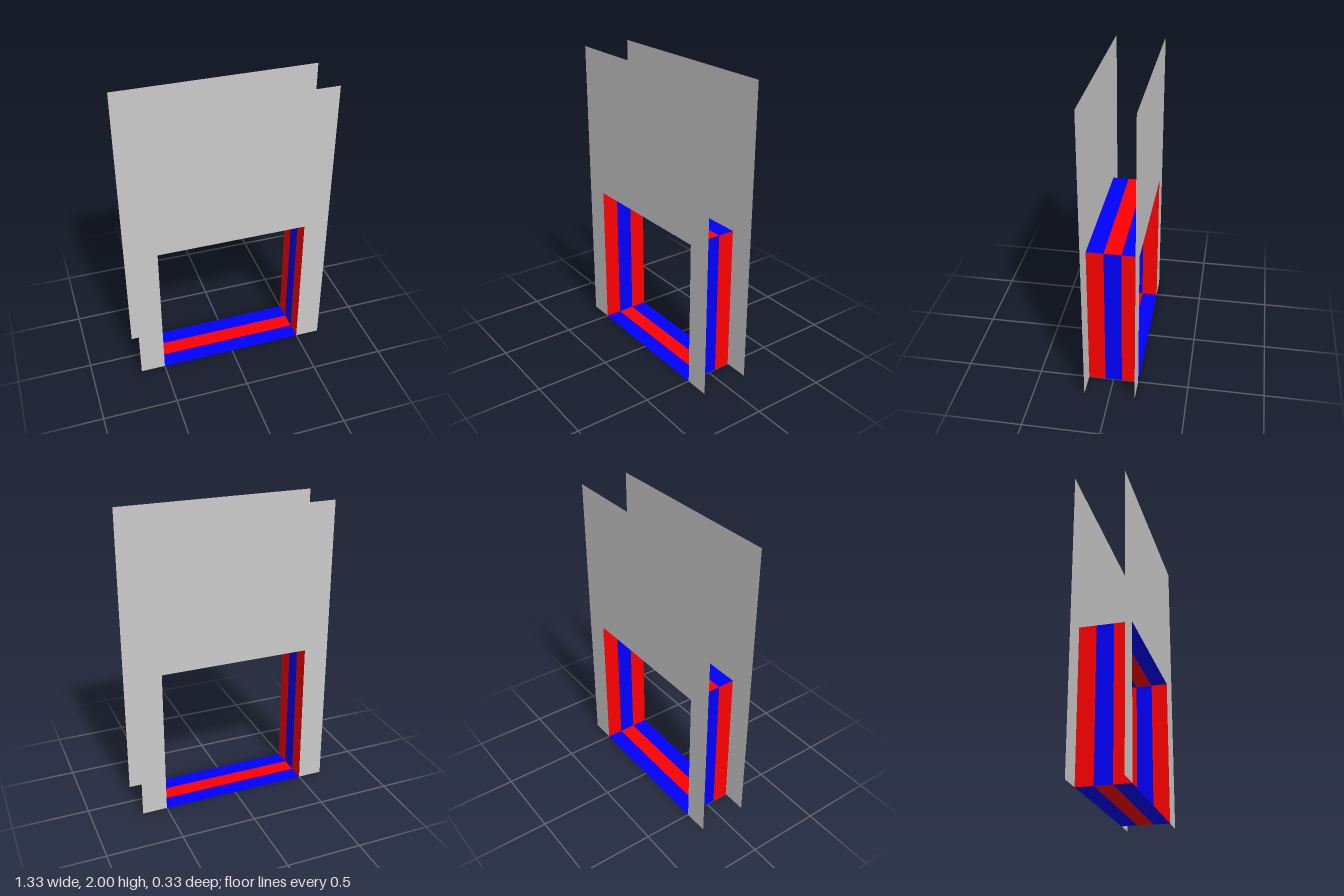
import * as THREE from 'three';

const HALF_W = 2 / 3, HEIGHT = 2;     // panels
const OPEN_HALF = 0.5, OPEN_H = 1;    // doorway
const DEPTH = 1 / 3, STRIP = DEPTH / 3;

const material = (color) => new THREE.MeshStandardMaterial({ color, side: THREE.DoubleSide });

export function createModel() {
  const model = new THREE.Group();
  const grey = material(0xcccccc), red = material(0xff0000), blue = material(0x0000ff);

  // Thin upright panel with a doorway cut from its lower edge
  const outline = new THREE.Shape([
    [-HALF_W, 0], [-OPEN_HALF, 0], [-OPEN_HALF, OPEN_H], [OPEN_HALF, OPEN_H],
    [OPEN_HALF, 0], [HALF_W, 0], [HALF_W, HEIGHT], [-HALF_W, HEIGHT],
  ].map(([x, y]) => new THREE.Vector2(x, y)));
  const panelGeometry = new THREE.ShapeGeometry(outline);
  for (const [name, side] of [['frontPanel', 1], ['backPanel', -1]]) {
    const panel = new THREE.Mesh(panelGeometry, grey);
    panel.name = name;
    panel.position.z = side * DEPTH / 2;
    if (side < 0) panel.rotation.y = Math.PI;
    model.add(panel);
  }

  // One striped face of the passage: three strips side by side along z
  function stripedFace(name, length, outer, inner) {
    const face = new THREE.Group();
    face.name = name;
    [outer, inner, outer].forEach((mat, i) => {
      const geometry = new THREE.PlaneGeometry(length, STRIP).rotateX(-Math.PI / 2);
      const strip = new THREE.Mesh(geometry, mat);
      strip.name = name + 'Strip';
      strip.position.z = (i - 1) * STRIP;
      face.add(strip);
    });
    model.add(face);
    return face;
  }

  // Floor and ceiling of the passage
  stripedFace('passageFloor', 2 * OPEN_HALF, blue, red);
  stripedFace('passageCeiling', 2 * OPEN_HALF, blue, red).position.y = OPEN_H;

  // Side walls of the passage
  for (const [name, side] of [['leftWall', 1], ['rightWall', -1]]) {
    const wall = stripedFace(name, OPEN_H, red, blue);
    wall.rotation.z = -side * Math.PI / 2;
    wall.position.set(side * OPEN_HALF, OPEN_H / 2, 0);
  }
  return model;
}
